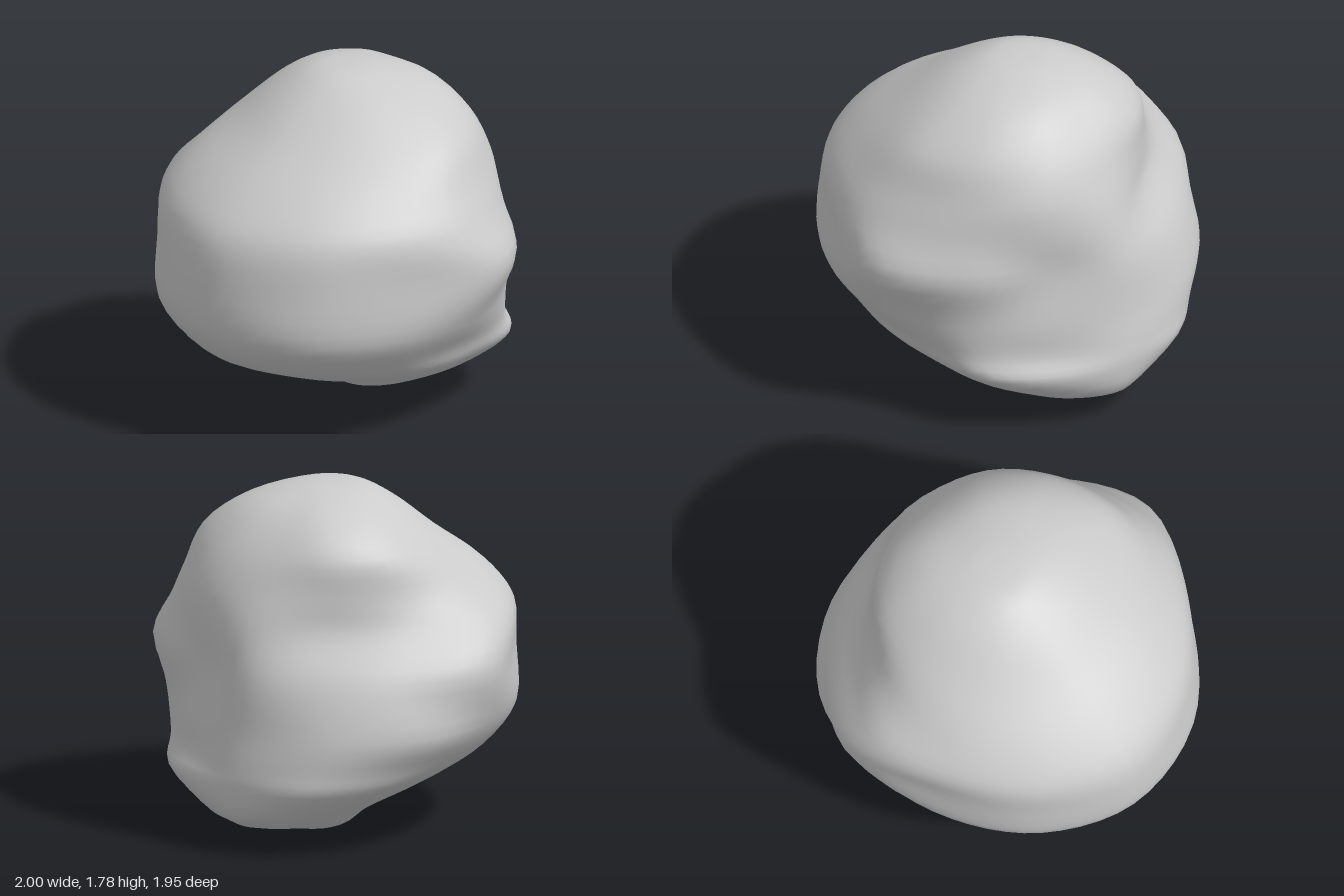
import * as THREE from 'three';

// Cross-sections from bottom to top: [height, centre z, twelve radii].
// Radii start at +x and turn through +z (front), -x and -z (back).
const SECTIONS = [
  [0.16, -0.35, 0.46, 0.46, 0.43, 0.40, 0.37, 0.35, 0.36, 0.40, 0.50, 0.57, 0.52, 0.47],
  [0.33, -0.25, 0.71, 0.78, 0.84, 0.84, 0.75, 0.66, 0.66, 0.72, 0.76, 0.72, 0.71, 0.74],
  [0.45, -0.10, 0.78, 0.84, 0.92, 0.94, 0.86, 0.80, 0.80, 0.86, 0.90, 0.86, 0.79, 0.81],
  [0.62, 0.00, 0.90, 0.91, 0.96, 0.96, 0.91, 0.88, 0.91, 0.99, 0.98, 0.93, 0.86, 0.88],
  [0.90, -0.15, 1.00, 0.98, 1.07, 1.12, 1.03, 0.95, 1.00, 0.84, 0.76, 0.75, 0.69, 0.83],
  [1.13, 0.00, 0.92, 0.89, 0.90, 0.92, 0.88, 0.87, 0.92, 0.79, 0.75, 0.85, 0.83, 0.86],
  [1.30, 0.00, 0.82, 0.77, 0.76, 0.76, 0.74, 0.74, 0.75, 0.72, 0.73, 0.79, 0.81, 0.80],
  [1.50, -0.10, 0.69, 0.62, 0.59, 0.58, 0.55, 0.55, 0.58, 0.62, 0.62, 0.59, 0.62, 0.66],
  [1.68, -0.14, 0.42, 0.39, 0.37, 0.36, 0.35, 0.35, 0.37, 0.40, 0.40, 0.37, 0.40, 0.43],
];
const AROUND = 60;
const UP = 48;

// One smooth closed section, sampled at AROUND points
function ring([y, cz, ...radii]) {
  const corners = radii.map((r, i) => {
    const a = (i / radii.length) * Math.PI * 2;
    return new THREE.Vector3(r * Math.cos(a), y, cz + r * Math.sin(a));
  });
  const curve = new THREE.CatmullRomCurve3(corners, true);
  return Array.from({ length: AROUND }, (_, j) => curve.getPoint(j / AROUND));
}

function boulderGeometry() {
  const round = (y, cz, r) => ring([y, cz, ...Array(12).fill(r)]);
  const rings = [round(0.045, -0.3, 0.19), ...SECTIONS.map(ring), round(1.765, -0.12, 0.17)];
  const bottom = new THREE.Vector3(-0.02, 0, -0.29);
  const top = new THREE.Vector3(0.03, 1.78, -0.12);

  // Smooth meridians through the sections, joined at the two poles
  const meridians = Array.from({ length: AROUND }, (_, j) =>
    new THREE.CatmullRomCurve3([bottom, ...rings.map((r) => r[j]), top]));
  const positions = [...bottom.toArray()];
  for (let i = 1; i < UP; i++) {
    for (const m of meridians) {
      const p = m.getPoint(i / UP);
      positions.push(p.x, THREE.MathUtils.clamp(p.y, 0, 1.78), p.z);
    }
  }
  positions.push(...top.toArray());

  // Skin: quads between rows, triangle fans at the poles
  const index = [];
  const last = positions.length / 3 - 1;
  const at = (i, j) => 1 + (i - 1) * AROUND + (j % AROUND);
  for (let j = 0; j < AROUND; j++) {
    index.push(0, at(1, j), at(1, j + 1));
    for (let i = 1; i < UP - 1; i++) {
      index.push(at(i, j), at(i + 1, j), at(i, j + 1));
      index.push(at(i, j + 1), at(i + 1, j), at(i + 1, j + 1));
    }
    index.push(at(UP - 1, j), last, at(UP - 1, j + 1));
  }
  const geometry = new THREE.BufferGeometry();
  geometry.setAttribute('position', new THREE.Float32BufferAttribute(positions, 3));
  geometry.setIndex(index);
  geometry.computeVertexNormals();
  return geometry;
}

export function createModel() {
  const group = new THREE.Group();
  group.name = 'rock';
  const boulder = new THREE.Mesh(boulderGeometry(), new THREE.MeshStandardMaterial({ color: 0xcccccc }));
  boulder.name = 'boulder';
  group.add(boulder);
  return group;
}
